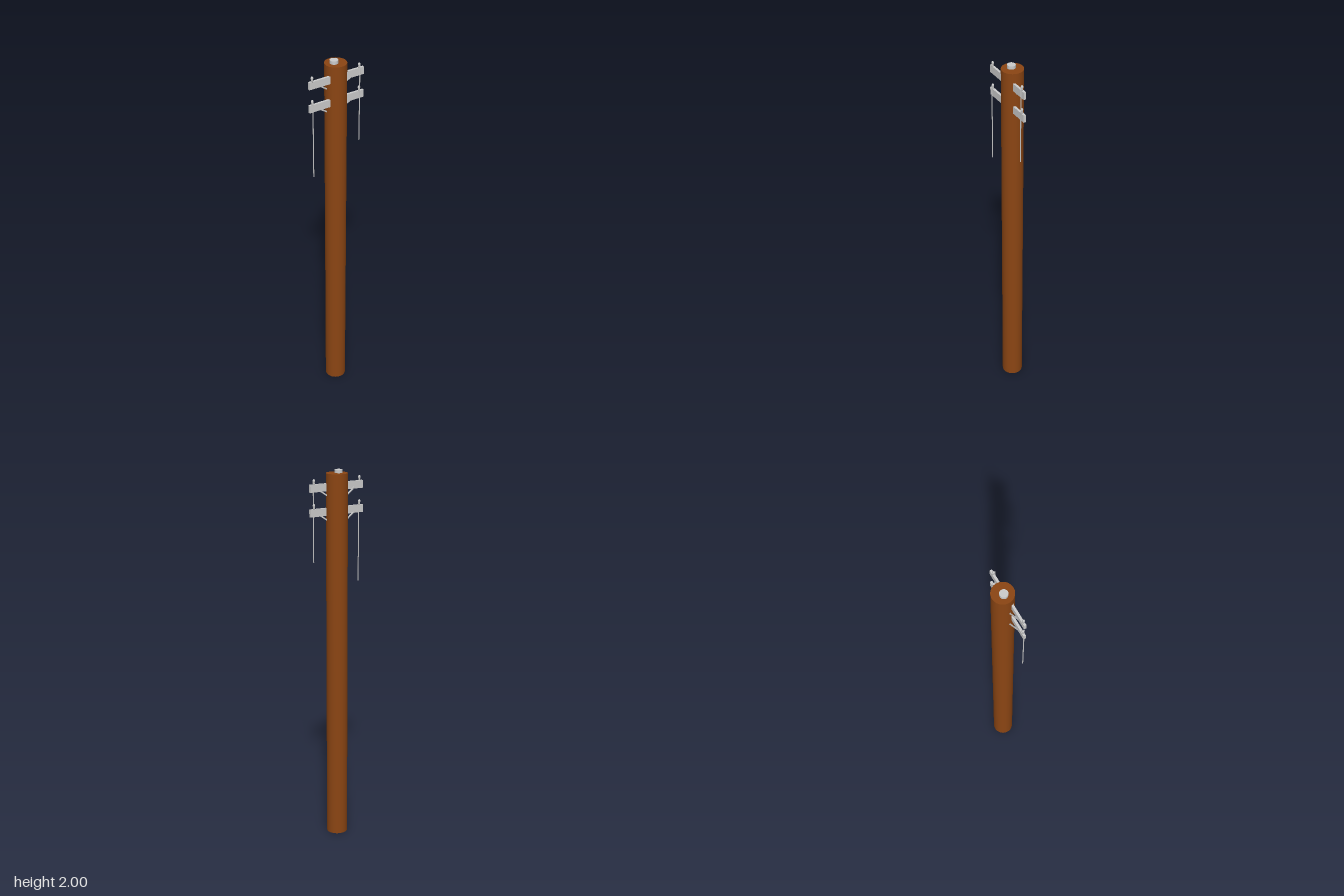
import * as THREE from 'three';

const grey = new THREE.MeshStandardMaterial({ color: 0xcccccc });
const wood = new THREE.MeshStandardMaterial({ color: 0x8b4513 });

function add(parent, name, geometry, material, x, y, z) {
  const mesh = new THREE.Mesh(geometry, material);
  mesh.name = name;
  mesh.position.set(x, y, z);
  parent.add(mesh);
  return mesh;
}

// flat bar running between two points
function addBar(parent, name, a, b, width, depth) {
  const bar = add(parent, name, new THREE.BoxGeometry(width, depth, a.distanceTo(b)), grey, 0, 0, 0);
  bar.position.addVectors(a, b).multiplyScalar(0.5);
  bar.lookAt(b);
}

export function createModel() {
  const model = new THREE.Group();
  model.name = 'utilityPole';

  // pole and metal cap
  add(model, 'pole', new THREE.CylinderGeometry(0.056, 0.056, 1.983, 48), wood, 0.01, 0.9915, 0);
  add(model, 'cap', new THREE.CylinderGeometry(0.021, 0.021, 0.03, 32), grey, 0, 1.985, 0);

  // turned pin standing on an arm
  const pinProfile = [[0, -0.002], [0.0055, -0.002], [0.0055, 0.006], [0.0045, 0.009],
    [0.0065, 0.014], [0.0065, 0.02], [0.004, 0.025], [0, 0.027]]
    .map(([r, y]) => new THREE.Vector2(r, y));
  const pinGeometry = new THREE.LatheGeometry(pinProfile, 12);

  // two crossarms with braces and pins
  for (const [name, y] of [['upperArm', 1.912], ['lowerArm', 1.787]]) {
    const arm = new THREE.Group();
    arm.name = name;
    model.add(arm);
    add(arm, 'crossarm', new THREE.BoxGeometry(0.316, 0.04, 0.012), grey, 0, y, 0.021);
    for (const side of [-1, 1]) {
      addBar(arm, 'brace',
        new THREE.Vector3(side * 0.105, y - 0.012, 0.016),
        new THREE.Vector3(side * 0.025, y - 0.067, 0.002), 0.005, 0.007);
      add(arm, 'insulator', pinGeometry, grey, side < 0 ? -0.14 : 0.133, y + 0.02, 0.022);
    }
  }

  // hanging wires
  for (const [x, top, bottom] of [[-0.14, 1.825, 1.4], [0.133, 1.95, 1.53]]) {
    add(model, 'wire', new THREE.CylinderGeometry(0.0027, 0.0027, top - bottom, 8), grey,
      x, (top + bottom) / 2, 0.028);
  }
  return model;
}
